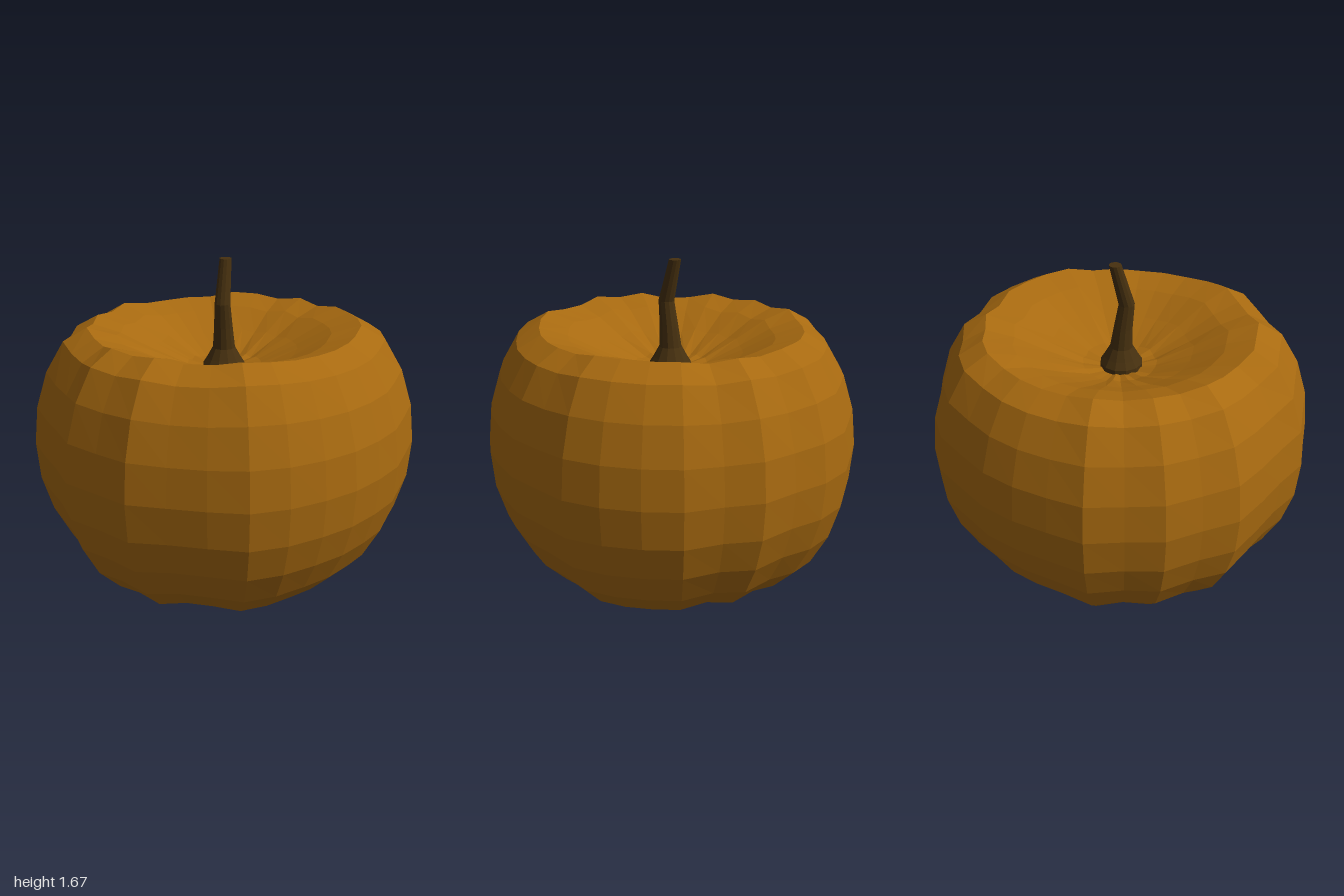
import * as THREE from 'three';

const SIDES = 32;

// Irregular rib sizes around the body, from the back (-z) towards +x
const RIBS = [
  1.0, 0.977, 1.004, 0.977, 1.008, 1.008, 1.012, 1.013,
  0.98, 0.983, 0.974, 0.979, 0.983, 1.0, 1.013, 0.985,
  0.98, 1.015, 0.99, 1.007, 0.962, 0.971, 1.007, 0.979,
  1.0, 0.977, 1.005, 0.971, 0.969, 0.974, 0.971, 1.005,
];

// Body profile [radius, height] from bottom dimple to top dimple
const BODY = [
  [0, 0.08], [0.195, 0.06], [0.383, 0.03], [0.556, 0.01], [0.707, 0.035],
  [0.831, 0.155], [0.924, 0.32], [0.981, 0.5], [1, 0.7], [0.981, 0.9],
  [0.924, 1.09], [0.831, 1.25], [0.707, 1.32], [0.556, 1.275],
  [0.383, 1.19], [0.195, 1.11], [0, 1.07],
];

// Stem sections [radius, height, z of the centre]
const STEM = [
  [0.112, 1.06, 0.01], [0.112, 1.11, 0.01], [0.09, 1.145, 0.01], [0.06, 1.2, 0.01],
  [0.05, 1.31, 0.02], [0.042, 1.44, 0.038], [0.032, 1.665, -0.022], [0, 1.665, -0.022],
];

// Lathe a profile, move its vertices by a rule, then facet it
function facetedLathe(profile, sides, rule) {
  const points = profile.map(([r, y]) => new THREE.Vector2(r, y));
  const lathe = new THREE.LatheGeometry(points, sides);
  const pos = lathe.attributes.position;
  const v = new THREE.Vector3();
  for (let i = 0; i < pos.count; i++) {
    v.fromBufferAttribute(pos, i);
    rule(v, i % profile.length);
    pos.setXYZ(i, v.x, v.y, v.z);
  }
  const flat = lathe.toNonIndexed();
  flat.computeVertexNormals();
  return flat;
}

export function createModel() {
  const model = new THREE.Group();
  model.name = 'pumpkin';

  const skin = new THREE.MeshStandardMaterial({ color: 0xa86a10 });
  skin.name = 'orange skin';
  const bark = new THREE.MeshStandardMaterial({ color: 0x46300f });
  bark.name = 'brown stem';

  // Body: each rib is scaled about the middle of the fruit
  const bodyGeometry = facetedLathe(BODY, SIDES, (v) => {
    if (Math.hypot(v.x, v.z) < 1e-4) return;
    const step = Math.round((Math.atan2(v.x, -v.z) / (2 * Math.PI)) * SIDES);
    const f = RIBS[(step + SIDES) % SIDES];
    v.set(v.x * f, 0.68 + (v.y - 0.68) * f, v.z * f);
  });
  const body = new THREE.Mesh(bodyGeometry, skin);
  body.name = 'body';

  // Bent stem with a flared foot
  const stemGeometry = facetedLathe(STEM, 12, (v, ring) => {
    v.z += STEM[ring][2];
  });
  const stem = new THREE.Mesh(stemGeometry, bark);
  stem.name = 'stem';
  stem.position.x = 0.004;

  model.add(body, stem);
  return model;
}
